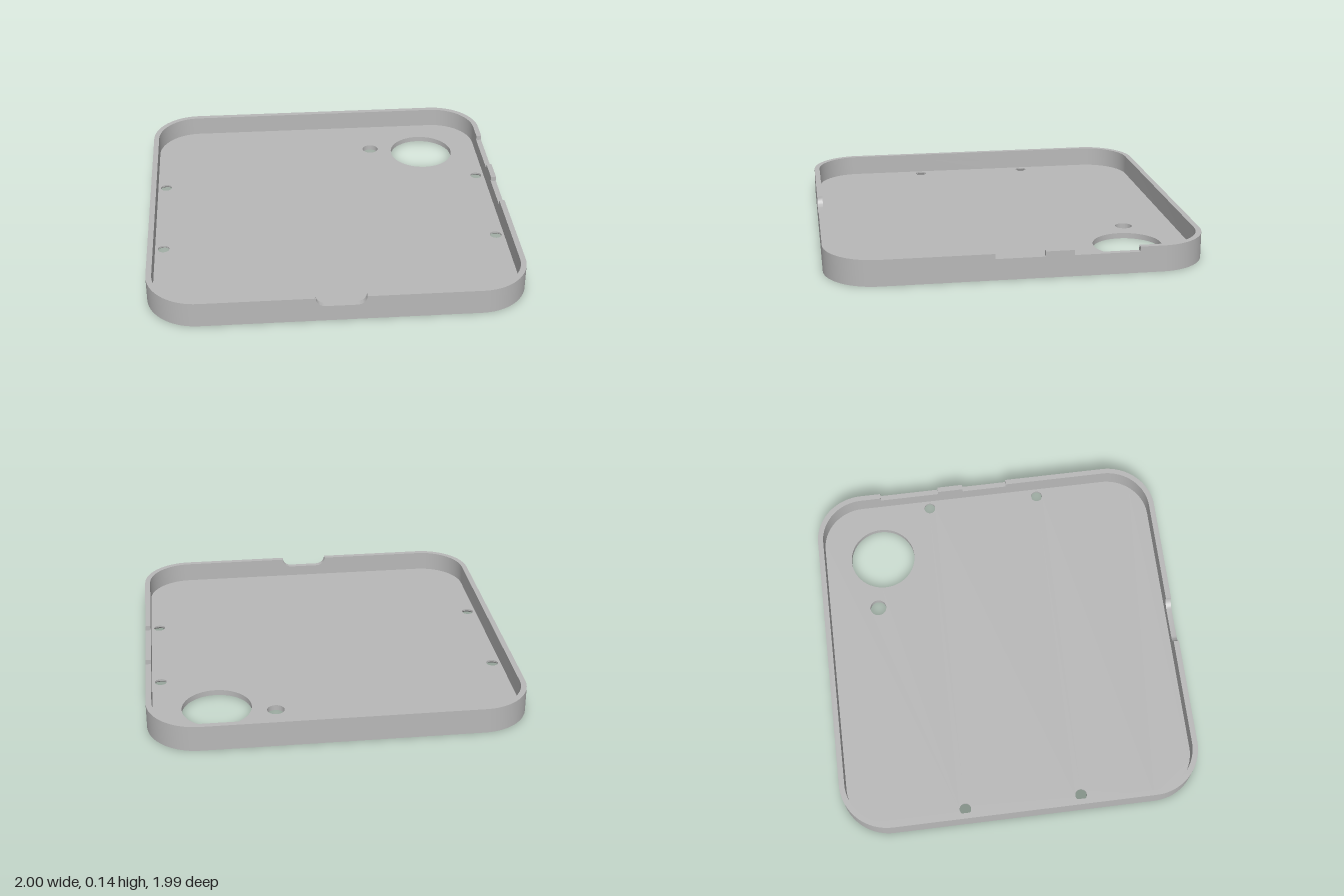
import * as THREE from 'three';
import { toCreasedNormals } from 'three/addons/utils/BufferGeometryUtils.js';

const HX = 1, HZ = 0.993, R = 0.27;         // half sizes and corner radius
const H = 0.14, FLOOR = 0.03, WALL = 0.03;  // rim height, floor and wall thickness
const CREASE = 0.5;

const grey = new THREE.MeshStandardMaterial({ color: 0xb8b8b8 });
grey.name = 'grey plastic';

// One rounded corner as stations: position, outward normal and rim height
function corner(quarter) {
  const sx = quarter === 0 || quarter === 3 ? 1 : -1;
  const sz = quarter < 2 ? 1 : -1;
  const list = [];
  for (let i = 0; i <= 20; i++) {
    const a = (quarter + i / 20) * Math.PI / 2;
    const nx = Math.cos(a), nz = Math.sin(a);
    list.push({ x: sx * (HX - R) + R * nx, z: sz * (HZ - R) + R * nz, nx, nz, h: H });
  }
  return list;
}

// Front port notch with rounded lower corners
function frontNotch() {
  const half = 0.132, r = 0.05, side = [];
  for (let i = 0; i <= 8; i++) {
    const a = i / 8 * Math.PI / 2;
    side.push([half - r * (1 - Math.cos(a)), H - r * Math.sin(a)]);
  }
  const mirrored = side.map(([x, h]) => [-x, h]).reverse();
  return [...side, ...mirrored].map(([x, h]) => ({ x, z: HZ, nx: 0, nz: 1, h }));
}

// Square notch in the left wall
function sideNotch(z0, z1) {
  const low = 0.113;
  return [[z0, H], [z0, low], [z1, low], [z1, H]]
    .map(([z, h]) => ({ x: HX, z, nx: 1, nz: 0, h }));
}

// Rim wall: outer face, top edge and inner face swept through the stations
function wallGeometry(stations) {
  const pos = [];
  const section = s => {
    const ix = s.x - WALL * s.nx, iz = s.z - WALL * s.nz;
    return [[s.x, 0, s.z], [s.x, s.h, s.z], [ix, s.h, iz], [ix, FLOOR, iz]];
  };
  stations.forEach((s, i) => {
    const n = stations[(i + 1) % stations.length];
    const step = Math.hypot(n.x - s.x, n.z - s.z) < 1e-6;
    const a = section(s), b = section(n);
    for (let k = 0; k < 3; k++) {
      if (step && k !== 1) continue;
      pos.push(...a[k], ...a[k + 1], ...b[k + 1], ...a[k], ...b[k + 1], ...b[k]);
    }
  });
  const g = new THREE.BufferGeometry();
  g.setAttribute('position', new THREE.Float32BufferAttribute(pos, 3));
  g.computeVertexNormals();
  return toCreasedNormals(g, CREASE);
}

// Flat floor face with round holes; dir is +1 facing up, -1 facing down
function floorFace(corners, inset, holes, y, dir) {
  const shape = new THREE.Shape(corners.map(s =>
    new THREE.Vector2(s.x - inset * s.nx, -dir * (s.z - inset * s.nz))));
  for (const { x, z, r } of holes) {
    shape.holes.push(new THREE.Path().absarc(x, -dir * z, r, 0, Math.PI * 2, true));
  }
  return new THREE.ShapeGeometry(shape, 24).rotateX(-dir * Math.PI / 2).translate(0, y, 0);
}

export function createModel() {
  const model = new THREE.Group();
  model.name = 'tray';
  const add = (name, geometry) => {
    const mesh = new THREE.Mesh(geometry, grey);
    mesh.name = name;
    model.add(mesh);
    return mesh;
  };

  // Rim with one front notch and two side notches
  const arcs = [0, 1, 2, 3].map(corner);
  add('rimWall', wallGeometry([
    ...arcs[0], ...frontNotch(), ...arcs[1], ...arcs[2], ...arcs[3],
    ...sideNotch(-0.604, -0.263), ...sideNotch(-0.116, 0.141),
  ]));

  // Holes: top radius r, bottom radius low (larger where countersunk)
  const holes = [
    { name: 'largeRoundHole', x: 0.633, z: -0.63, r: 0.185, low: 0.185 },
    { name: 'smallRoundHole', x: 0.325, z: -0.687, r: 0.046, low: 0.046 },
  ];
  for (const x of [-0.923, 0.923]) {
    for (const z of [-0.322, 0.322]) {
      holes.push({ name: 'screwHole', x, z, r: 0.032, low: 0.058 });
    }
  }

  // Floor, top and underside
  const outline = arcs.flat();
  add('floorTop', floorFace(outline, WALL, holes, FLOOR, 1));
  add('floorUnderside', floorFace(outline, 0, holes.map(h => ({ ...h, r: h.low })), 0, -1));

  // Inner walls of the holes
  for (const { name, x, z, r, low } of holes) {
    const profile = [[r, FLOOR], [r, 0.02], [low, 0]].map(p => new THREE.Vector2(...p));
    const liner = toCreasedNormals(new THREE.LatheGeometry(profile, 48), CREASE);
    add(name, liner).position.set(x, 0, z);
  }
  return model;
}
